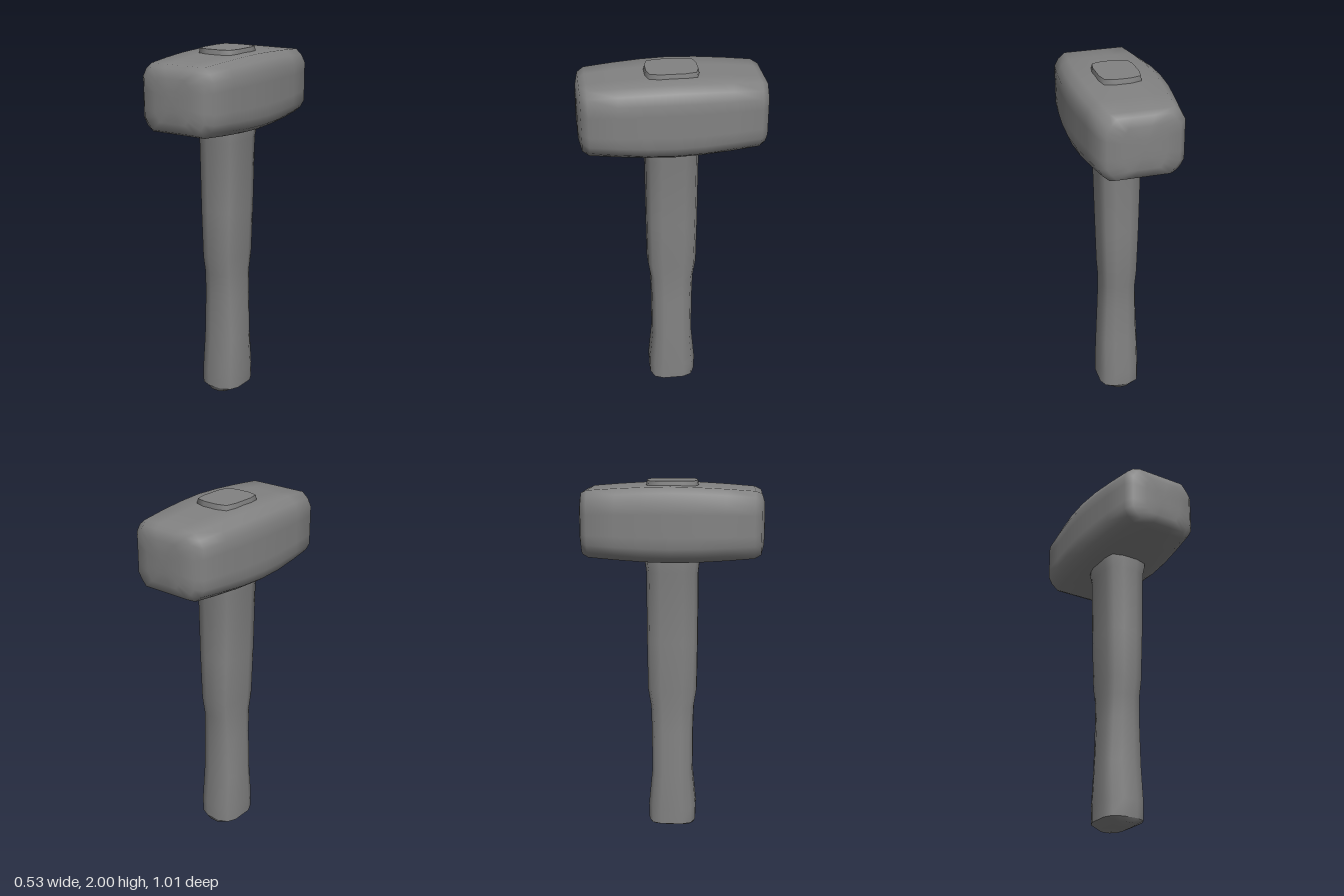
import * as THREE from 'three';
import { toCreasedNormals } from 'three/addons/utils/BufferGeometryUtils.js';

const material = new THREE.MeshStandardMaterial({ color: 0x828282 });

// Mirrors one quadrant of a section (ordered from the x side to the y side) into a full loop
function mirrorSection(q) {
  const r = [...q].reverse();
  return [
    ...q,
    ...r.map(([x, y]) => [-x, y]),
    ...q.map(([x, y]) => [-x, -y]),
    ...r.map(([x, y]) => [x, -y]),
  ];
}

// Unit sections; a smaller corner value rounds them more
const oval = (corner) => mirrorSection([[1, 0.45], [corner, corner], [0.36, 1]]);
const block = (corner) => mirrorSection([[1, 0.3], [1, 0.6], [corner, corner - 0.07], [0.74, 1], [0.3, 1]]);

// Lofts a section along z through rows of [z, halfX, halfY, corner] and caps both ends
function loft(section, rows, crease, bulge = 0) {
  const n = section(1).length, pos = [], idx = [];
  for (const [z, hx, hy, corner] of rows)
    for (const [x, y] of section(corner)) pos.push(x * hx, y * hy, z);
  for (let r = 0; r < rows.length - 1; r++)
    for (let i = 0; i < n; i++) {
      const a = r * n + i, b = r * n + (i + 1) % n;
      idx.push(a, b, b + n, a, b + n, a + n);
    }
  const last = (rows.length - 1) * n, c = rows.length * n;
  pos.push(0, 0, rows[0][0] - bulge, 0, 0, rows[rows.length - 1][0] + bulge);
  for (let i = 0; i < n; i++) {
    const j = (i + 1) % n;
    idx.push(c, j, i, c + 1, last + i, last + j);
  }
  const geo = new THREE.BufferGeometry();
  geo.setAttribute('position', new THREE.Float32BufferAttribute(pos, 3));
  geo.setIndex(idx);
  return toCreasedNormals(geo, crease);
}

function part(name, geo) {
  const mesh = new THREE.Mesh(geo, material);
  mesh.name = name;
  return mesh;
}

export function createModel() {
  const group = new THREE.Group();
  group.name = 'sledgeHammer';

  // Handle: rounded oval section, waisted grip, slight flare under the head
  const handle = loft(oval, [
    [0.025, 0.118, 0.133, 0.82],
    [0.12, 0.118, 0.136, 0.82],
    [0.33, 0.112, 0.116, 0.83],
    [0.57, 0.101, 0.117, 0.84],
    [0.72, 0.096, 0.122, 0.85],
    [0.82, 0.102, 0.138, 0.85],
    [1.1, 0.109, 0.142, 0.86],
    [1.5, 0.118, 0.144, 0.86],
    [1.55, 0.126, 0.15, 0.87],
    [1.62, 0.123, 0.147, 0.88],
    [1.97, 0.115, 0.143, 0.88],
    [2.0, 0.11, 0.137, 0.88],
  ], 1.2);
  handle.rotateX(-Math.PI / 2);
  group.add(part('handle', handle));

  // Butt: bevelled underside of the handle, shaded as one soft surface
  const butt = loft(oval, [[0, 0.065, 0.122, 0.82], [0.025, 0.118, 0.133, 0.82]], 1.5);
  butt.rotateX(-Math.PI / 2);
  group.add(part('handleButt', butt));

  // Head: barrel-shaped block with rounded edges and softly domed striking faces
  const half = [
    [0.15, 0.259, 0.199, 0.92],
    [0.3, 0.244, 0.191, 0.91],
    [0.45, 0.225, 0.18, 0.9],
    [0.486, 0.19, 0.164, 0.88],
    [0.502, 0.11, 0.115, 0.86],
    [0.505, 0.05, 0.055, 0.86],
  ];
  const rows = [
    ...[...half].reverse().map(([z, ...rest]) => [-z, ...rest]),
    [0, 0.265, 0.203, 0.92],
    ...half,
  ];
  const head = part('head', loft(block, rows, 1.2, 0.001));
  head.position.y = 1.774;
  group.add(head);

  return group;
}
